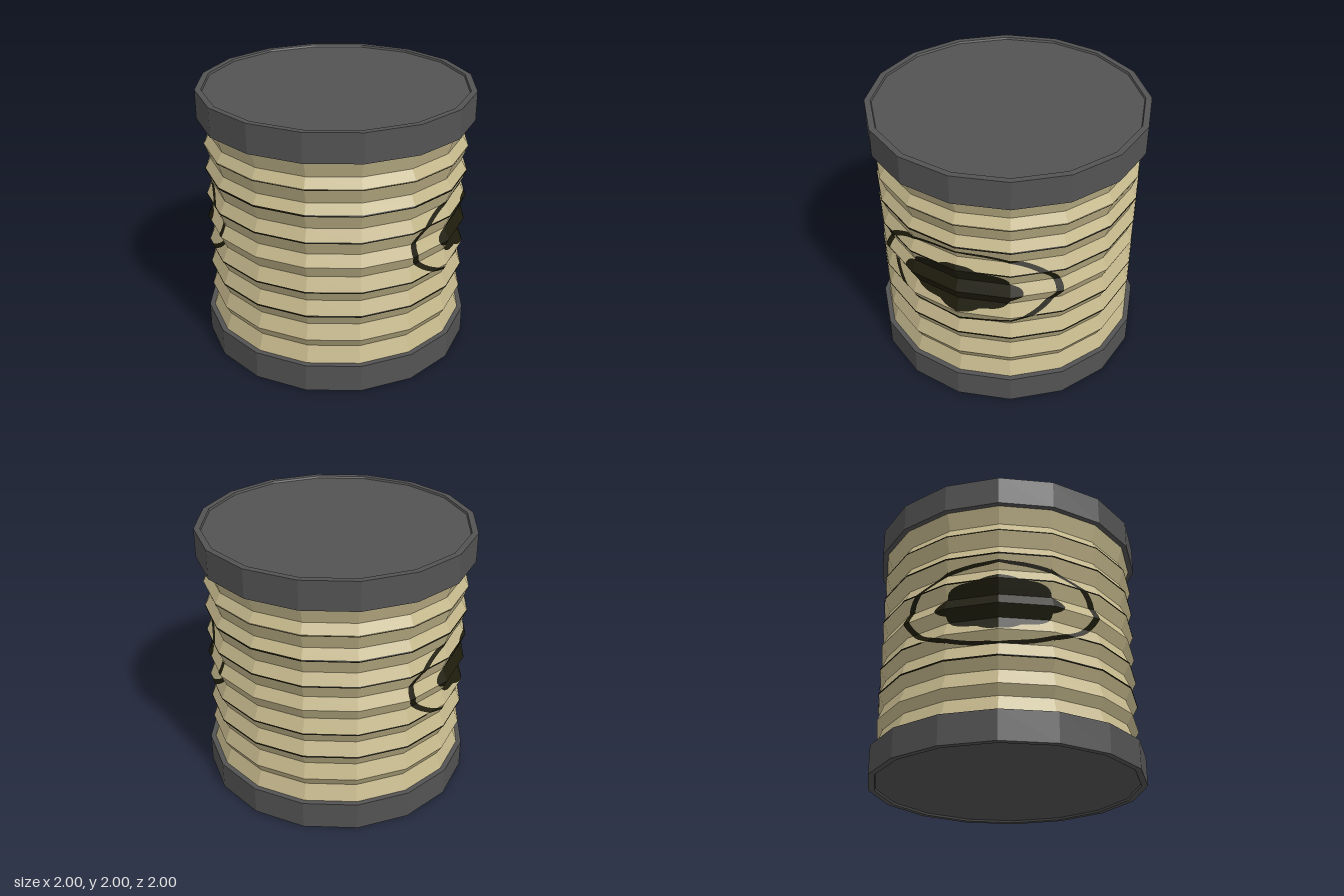
import * as THREE from 'three';

const SIDES = 16;
const STEP = (Math.PI * 2) / SIDES;
const HALF = STEP / 2;

// Pleated paper profile: [distance to the flat of a facet, height]
const PLEATS = [0.214, 0.337, 0.41, 0.524, 0.61, 0.717, 0.803, 0.909, 1.0,
  1.086, 1.193, 1.283, 1.395, 1.472, 1.588, 1.66, 1.79]
  .map((y, i) => [i % 2 ? 0.92 : 0.962, y]);

// Faceted lathe whose flats face the axes
function facetedLathe(points) {
  const pts = points.map(([r, y]) => new THREE.Vector2(r / Math.cos(HALF), y));
  const geo = new THREE.LatheGeometry(pts, SIDES, HALF).toNonIndexed();
  geo.computeVertexNormals();
  return geo;
}

// Point lying just over the pleated paper at a given angle and height
function onPaper(angle, y) {
  let i = 0;
  while (i < PLEATS.length - 2 && y > PLEATS[i + 1][1]) i++;
  const [[r0, y0], [r1, y1]] = [PLEATS[i], PLEATS[i + 1]];
  const flat = THREE.MathUtils.mapLinear(y, y0, y1, r0, r1) + 0.004;
  const r = flat / Math.cos(angle - Math.round(angle / STEP) * STEP);
  return [r * Math.sin(angle), y, r * Math.cos(angle)];
}

// Thin painted layer: spansAt(y) lists the angle ranges covered at height y
function paintedLayer(yMin, yMax, rows, spansAt) {
  const ys = [];
  for (let i = 0; i <= rows; i++) ys.push(yMin + ((yMax - yMin) * i) / rows);
  for (const [, y] of PLEATS) if (y > yMin && y < yMax) ys.push(y);
  ys.sort((a, b) => a - b);
  const pos = [];
  for (let i = 0; i < ys.length - 1; i++) {
    const [y0, y1] = [ys[i], ys[i + 1]];
    if (y1 - y0 < 1e-6) continue;
    const low = spansAt(y0), high = spansAt(y1);
    low.forEach((span, s) => {
      const from = Math.min(span[0], high[s][0]), to = Math.max(span[1], high[s][1]);
      for (let k = Math.round(from / STEP); k <= Math.round(to / STEP); k++) {
        const clip = (a) => THREE.MathUtils.clamp(a, k * STEP - HALF + 1e-6, k * STEP + HALF - 1e-6);
        const [a, b] = span.map(clip), [d, c] = high[s].map(clip);
        if (b - a > 1e-5) pos.push(...onPaper(a, y0), ...onPaper(b, y0), ...onPaper(c, y1));
        if (c - d > 1e-5) pos.push(...onPaper(a, y0), ...onPaper(c, y1), ...onPaper(d, y1));
      }
    });
  }
  const geo = new THREE.BufferGeometry();
  geo.setAttribute('position', new THREE.Float32BufferAttribute(pos, 3));
  geo.computeVertexNormals();
  return geo;
}

// Half width of a unit ellipse at relative height v
const ellipseHalf = (v) => Math.sqrt(Math.max(0, 1 - v * v));

// Half width of the eight-lobed blossom at relative height v
function blossomHalf(v) {
  for (let u = 1; u > 0; u -= 0.005) {
    const t = Math.atan2(v, u);
    const edge = 0.84 + 0.12 * Math.abs(Math.cos(4 * t)) + 0.04 * Math.cos(2 * t) ** 2;
    if (Math.hypot(u, v) <= edge) return u;
  }
  return 0;
}

export function createModel() {
  const paper = new THREE.MeshStandardMaterial({ color: 0xc6b98d });
  paper.name = 'paper';
  const cap = new THREE.MeshStandardMaterial({ color: 0x535353 });
  cap.name = 'capGrey';
  const ink = new THREE.MeshStandardMaterial({ color: 0x1f1d0d });
  ink.name = 'ink';

  const model = new THREE.Group();
  model.name = 'paperLantern';
  const add = (name, geo, mat) => {
    const mesh = new THREE.Mesh(geo, mat);
    mesh.name = name;
    model.add(mesh);
    return mesh;
  };

  // Pleated body
  add('pleatedBody', facetedLathe(PLEATS), paper);

  // End caps with a shallow recess inside the rim
  const capGeo = facetedLathe([[0, 0.015], [0.95, 0.015], [0.956, 0], [1, 0], [1, 0.214], [0, 0.214]]);
  add('bottomCap', capGeo, cap);
  const top = add('topCap', capGeo, cap);
  top.rotation.x = Math.PI;
  top.position.y = 2;

  // Emblems on two opposite sides: oval outline with a blossom inside
  const deg = THREE.MathUtils.degToRad;
  const centres = [deg(56.25), deg(236.25)];
  for (const [i, mid] of centres.entries()) {
    const name = i ? 'back' : 'front';
    add(name + 'OvalOutline', paintedLayer(0.708, 1.35, 70, (y) => {
      const outer = deg(45) * ellipseHalf((y - 1.029) / 0.321);
      const inner = Math.min(outer, deg(41.8) * ellipseHalf((y - 1.029) / 0.295));
      return [[mid - outer, mid - inner], [mid + inner, mid + outer]];
    }), ink);
    add(name + 'Blossom', paintedLayer(0.808, 1.232, 50, (y) => {
      const w = deg(28) * blossomHalf((y - 1.02) / 0.212);
      return [[mid - w, mid + w]];
    }), ink);
  }

  // Ink lines along the ridges; one stops at the emblems
  const full = [[0, Math.PI * 2]];
  const gaps = [[deg(90), deg(202)], [deg(270), deg(382)]];
  for (const [y, h, spans] of [[0.61, 0.007, full], [0.803, 0.006, gaps], [1.193, 0.006, full],
    [1.395, 0.007, full], [1.583, 0.003, full]]) {
    add('ridgeLine', paintedLayer(y - h, y + h, 1, () => spans), ink);
  }
  return model;
}
